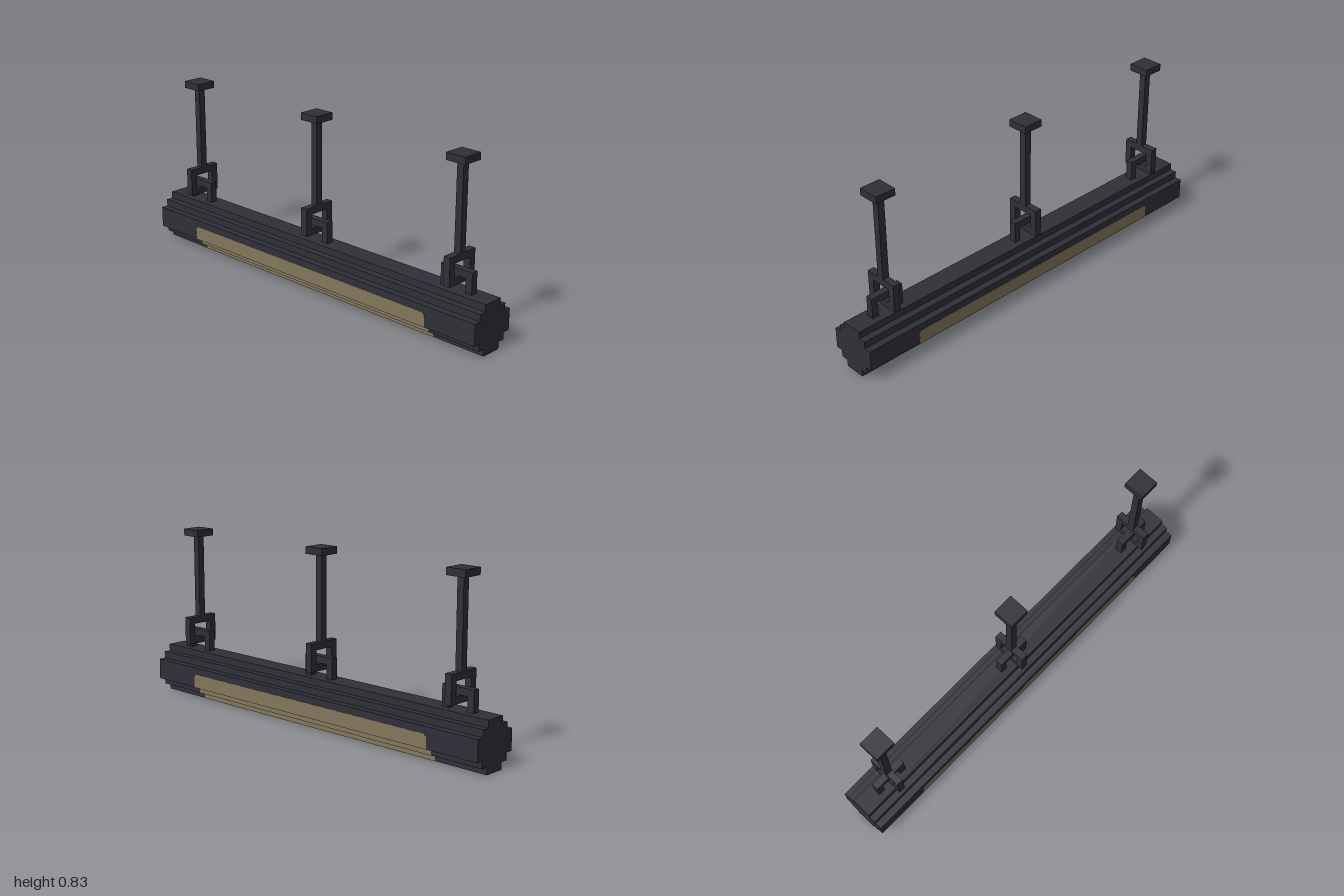
import * as THREE from 'three';

const U = 1 / 60; // one block unit

const darkMetal = new THREE.MeshStandardMaterial({ color: 0x2f2f38 });
const warmPanel = new THREE.MeshStandardMaterial({ color: 0x83765a });

function box(name, material, w, h, d, x, y, z) {
  const mesh = new THREE.Mesh(new THREE.BoxGeometry(w, h, d), material);
  mesh.position.set(x, y, z);
  mesh.name = name;
  return mesh;
}

// Stepped round bar lying along x
function createBody() {
  const half = [[3, 0], [3, 2], [5, 2], [5, 4], [7, 4], [7, 10], [5, 10], [5, 12], [3, 12], [3, 14]];
  const outline = [...half, ...half.map(([z, y]) => [-z, y]).reverse()];
  const shape = new THREE.Shape(outline.map(([z, y]) => new THREE.Vector2(z * U, y * U)));
  const geometry = new THREE.ExtrudeGeometry(shape, { depth: 2, bevelEnabled: false });
  geometry.translate(0, 0, -1).rotateY(Math.PI / 2);
  const body = new THREE.Mesh(geometry, darkMetal);
  body.name = 'body';
  return body;
}

// Thin light panel wrapped around the lower half of the bar
function createLightPanel() {
  const group = new THREE.Group();
  group.name = 'lightPanel';
  const L = 88 * U, t = 0.002, x = L / 2, c = 0.012;
  group.add(box('bottomPanel', warmPanel, L, t, 6 * U, 0, 0, 0));

  const side = new THREE.Shape([
    [-x, 4 * U], [x, 4 * U], [x, 8 * U - c], [x - c, 8 * U], [-x + c, 8 * U], [-x, 8 * U - c],
  ].map(([px, py]) => new THREE.Vector2(px, py)));
  const sideGeometry = new THREE.ExtrudeGeometry(side, { depth: t, bevelEnabled: false });

  for (const s of [1, -1]) {
    const panel = new THREE.Mesh(sideGeometry, warmPanel);
    panel.position.z = s * 7 * U - t / 2;
    panel.name = 'sidePanel';
    group.add(panel);
    // risers and undersides of the two lower steps
    for (const [z, y] of [[3, 0], [5, 2]]) {
      group.add(box('stepRiser', warmPanel, L, 2 * U, t, 0, (y + 1) * U, s * z * U));
      group.add(box('stepUnderside', warmPanel, L, t, 2 * U, 0, (y + 2) * U, s * (z + 1) * U));
    }
  }
  return group;
}

// Interlocked bracket and link, with a rod up to the ceiling plate
function createHanger(x) {
  const group = new THREE.Group();
  group.name = 'hanger';
  const add = (name, w, h, d, y, px = 0, pz = 0) =>
    group.add(box(name, darkMetal, w * U, h * U, d * U, px * U, y * U, pz * U));

  for (const s of [1, -1]) {
    add('bracketLeg', 2, 6, 2, 17, s * 4, 0);
    add('linkSide', 2, 8, 2, 20, 0, s * 4);
  }
  add('bracketTop', 6, 2, 2, 19);
  add('linkBottom', 2, 2, 6, 17);
  add('linkTop', 2, 2, 6, 23);
  add('rod', 2, 24, 2, 36);
  add('ceilingPlate', 6, 2, 6, 49);
  group.position.x = x;
  return group;
}

export function createModel() {
  const model = new THREE.Group();
  model.name = 'hangingLamp';
  model.add(createBody(), createLightPanel());
  for (const x of [-49, -1, 49]) model.add(createHanger(x * U));
  return model;
}
